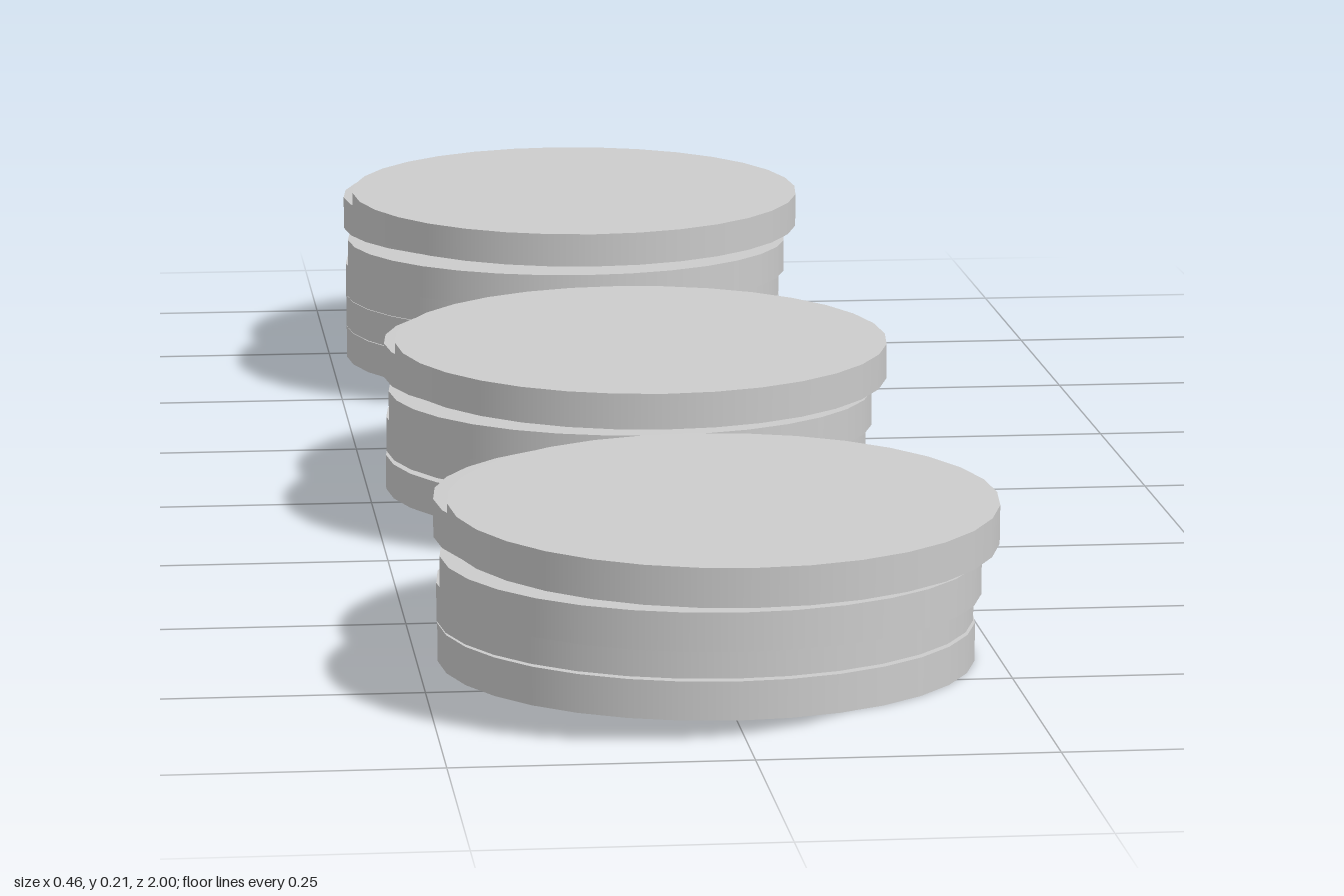
import * as THREE from 'three';

const RADIUS = 0.232;
const THICK = 0.0333;
const TILT = 0.031;

// Disc centres along z from the bottom up; lift raises every disc above the lowest.
const STACKS = [
  { name: 'frontStack', z: [0.639, 0.629, 0.673, 0.597, 0.768], lift: 0 },
  { name: 'middleStack', z: [-0.062, -0.053, -0.013, -0.082, 0.087], lift: 0.006 },
  { name: 'backStack', z: [-0.731, -0.735, -0.738, -0.693, -0.768, -0.597], lift: 0 },
];

export function createModel() {
  const model = new THREE.Group();
  model.name = 'discStacks';
  const material = new THREE.MeshStandardMaterial({ color: 0xcccccc });
  const discGeometry = new THREE.CylinderGeometry(RADIUS, RADIUS, THICK, 32);

  for (const { name, z, lift } of STACKS) {
    const stack = new THREE.Group();
    stack.name = name;
    z.forEach((cz, i) => {
      const disc = new THREE.Mesh(discGeometry, material);
      const isTop = i === z.length - 1;
      disc.name = isTop ? 'topDisc' : `disc${i + 1}`;
      disc.position.set(0, THICK * (i + 0.5) + (i > 0 ? lift : 0), cz);
      // The top disc leans, its rear edge higher
      if (isTop) disc.rotation.x = TILT;
      stack.add(disc);
    });
    model.add(stack);
  }
  return model;
}
